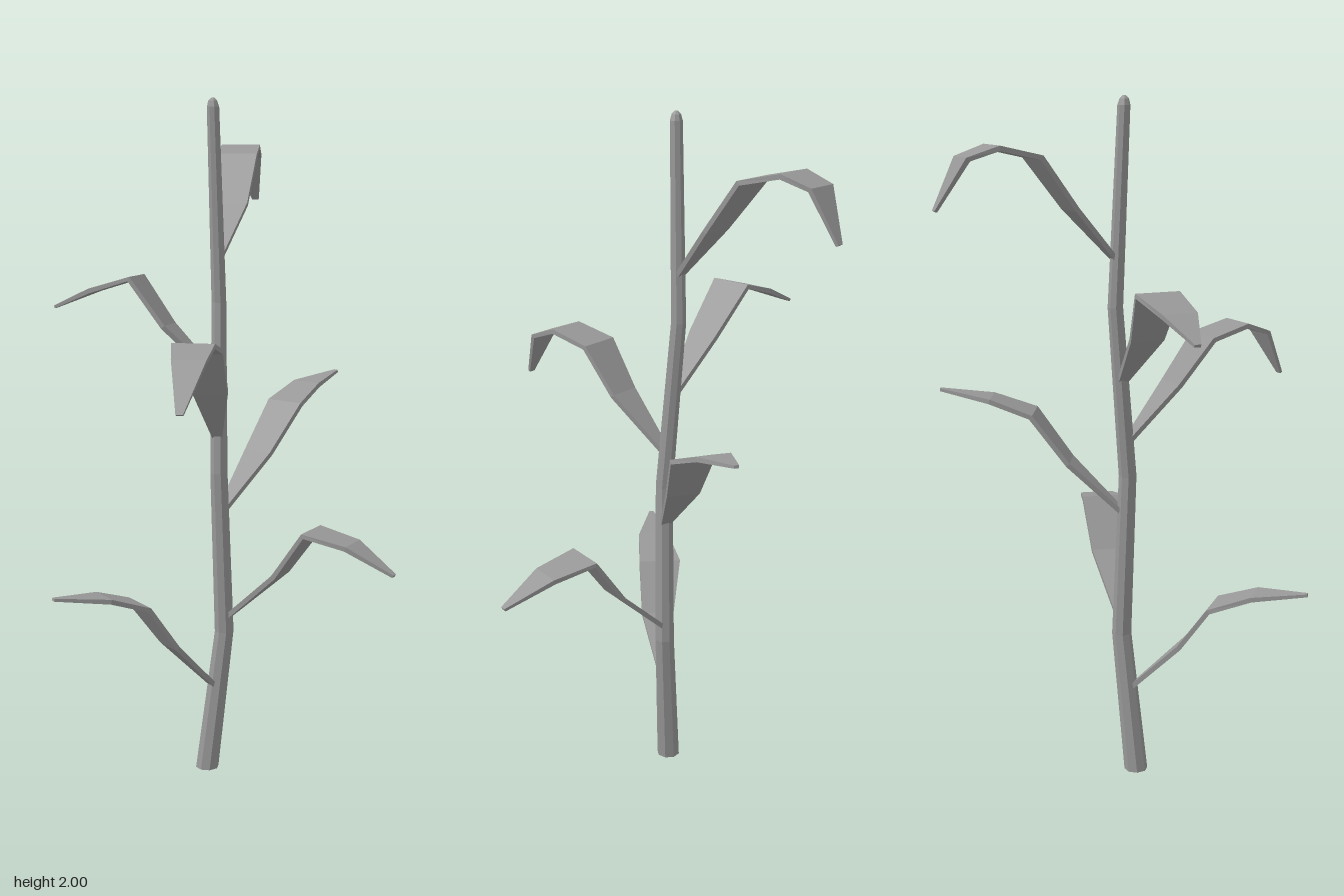
import * as THREE from 'three';

const V = (x, y, z) => new THREE.Vector3(x, y, z);

// Closed skin through a list of rings that turn counter-clockwise about the direction of travel
function loft(rings) {
  const n = rings[0].length;
  const last = (rings.length - 1) * n;
  const index = [];
  for (let r = 0; r < rings.length - 1; r++) {
    for (let i = 0; i < n; i++) {
      const a = r * n + i, b = r * n + (i + 1) % n;
      index.push(a, b, b + n, a, b + n, a + n);
    }
  }
  for (let i = 1; i < n - 1; i++) {
    index.push(0, i + 1, i, last, last + i, last + i + 1);
  }
  const indexed = new THREE.BufferGeometry().setFromPoints(rings.flat());
  indexed.setIndex(index);
  const geometry = indexed.toNonIndexed();
  geometry.computeVertexNormals();
  return geometry;
}

// Stem: x, y, z, radius
const STEM = [
  [-0.028, 0, -0.053, 0.035],
  [0.022, 0.43, -0.034, 0.029],
  [0.003, 0.92, -0.034, 0.026],
  [0.028, 1.42, -0.07, 0.022],
  [0.004, 1.975, -0.064, 0.018],
  [0.003, 1.992, -0.064, 0.013],
  [0.003, 2, -0.064, 0.005],
];

function stemGeometry(sides = 8) {
  return loft(STEM.map(([x, y, z, r]) => Array.from({ length: sides }, (_, i) => {
    const a = (i + 0.5) / sides * Math.PI * 2;
    return V(x + Math.sin(a) * r, y, z + Math.cos(a) * r);
  })));
}

// Leaf midribs from stem to tip: x, y, z, width
const LEAVES = [
  [[0, 0.25, -0.042, 0.025], [-0.17, 0.42, -0.037, 0.1], [-0.265, 0.555, -0.055, 0.13],
    [-0.385, 0.597, -0.05, 0.095], [-0.54, 0.616, -0.062, 0.014]],
  [[0.025, 0.47, -0.03, 0.025], [0.113, 0.63, 0.125, 0.1], [0.157, 0.77, 0.217, 0.13],
    [0.215, 0.745, 0.33, 0.1], [0.268, 0.675, 0.453, 0.018]],
  [[0.01, 0.8, -0.034, 0.025], [0.17, 0.96, -0.065, 0.1], [0.277, 1.1, -0.075, 0.128],
    [0.39, 1.145, -0.115, 0.1], [0.535, 1.17, -0.15, 0.014]],
  [[0.005, 1.02, -0.042, 0.025], [-0.1, 1.18, 0.075, 0.1], [-0.177, 1.31, 0.14, 0.128],
    [-0.26, 1.34, 0.23, 0.12], [-0.315, 1.31, 0.295, 0.095], [-0.37, 1.178, 0.333, 0.02]],
  [[0.015, 1.2, -0.055, 0.025], [-0.09, 1.35, -0.16, 0.1], [-0.145, 1.488, -0.25, 0.13],
    [-0.23, 1.45, -0.345, 0.1], [-0.305, 1.395, -0.455, 0.018]],
  [[0.025, 1.55, -0.068, 0.025], [0.13, 1.7, -0.155, 0.1], [0.206, 1.843, -0.238, 0.13],
    [0.287, 1.87, -0.328, 0.12], [0.348, 1.843, -0.386, 0.097], [0.413, 1.708, -0.424, 0.02]],
];

function leafGeometry(rib, thickness = 0.014) {
  const pts = rib.map(([x, y, z]) => V(x, y, z));
  const end = pts.length - 1;
  const run = pts[end].clone().sub(pts[0]);
  const side = V(0, 1, 0).cross(run).normalize();
  return loft(pts.map((p, i) => {
    const along = pts[Math.min(i + 1, end)].clone().sub(pts[Math.max(i - 1, 0)]);
    const up = along.cross(side).normalize();
    const w = rib[i][3] / 2;
    const t = thickness / 2 * (i === end ? 0.6 : 1);
    return [[1, 1], [-1, 1], [-1, -1], [1, -1]].map(([a, b]) =>
      p.clone().addScaledVector(side, a * w).addScaledVector(up, b * t));
  }));
}

export function createModel() {
  const plant = new THREE.Group();
  plant.name = 'plant';
  const material = new THREE.MeshStandardMaterial({ color: 0x989898, flatShading: true });

  // Bent, tapering stem with a rounded top
  const stem = new THREE.Mesh(stemGeometry(), material);
  stem.name = 'stem';
  plant.add(stem);

  // Arching leaves, climbing the stem
  LEAVES.forEach((rib, i) => {
    const leaf = new THREE.Mesh(leafGeometry(rib), material);
    leaf.name = `leaf${i + 1}`;
    plant.add(leaf);
  });
  return plant;
}
